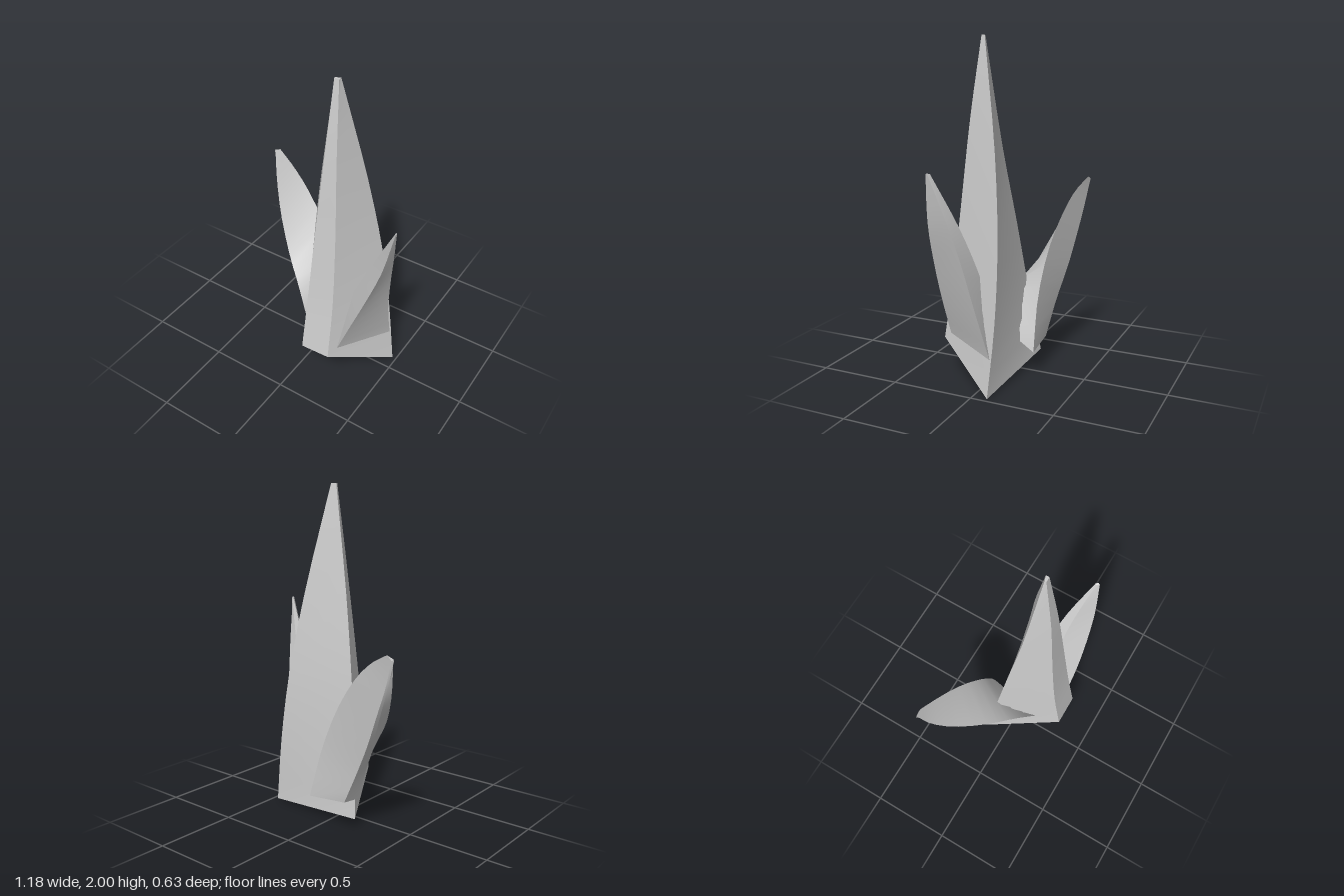
import * as THREE from 'three';

const material = new THREE.MeshStandardMaterial({ color: 0xcccccc });
const STEPS = 12;

// A tapering shard skinned between its four curved long edges.
// Each edge runs from base to tip; edges go counter-clockwise seen from the tip.
function shard(name, edges) {
  const rails = edges.map((points) =>
    new THREE.CatmullRomCurve3(points.map((p) => new THREE.Vector3(...p)), false, 'centripetal').getPoints(STEPS));
  const positions = [];
  const indices = [];
  const addVertex = (v) => positions.push(v.x, v.y, v.z) / 3 - 1;

  // four sides, each with its own vertices so the long edges stay sharp
  rails.forEach((a, i) => {
    const b = rails[(i + 1) % rails.length];
    const start = positions.length / 3;
    for (let k = 0; k <= STEPS; k++) {
      addVertex(a[k]);
      addVertex(b[k]);
    }
    for (let k = 0; k < STEPS; k++) {
      const n = start + 2 * k;
      indices.push(n, n + 1, n + 3, n, n + 3, n + 2);
    }
  });

  // base and tip caps
  const [b0, b1, b2, b3] = rails.map((r) => addVertex(r[0]));
  indices.push(b0, b2, b1, b0, b3, b2);
  const [t0, t1, t2, t3] = rails.map((r) => addVertex(r[STEPS]));
  indices.push(t0, t1, t2, t0, t2, t3);

  const geometry = new THREE.BufferGeometry();
  geometry.setAttribute('position', new THREE.Float32BufferAttribute(positions, 3));
  geometry.setIndex(indices);
  geometry.computeVertexNormals();
  const mesh = new THREE.Mesh(geometry, material);
  mesh.name = name;
  return mesh;
}

export function createModel() {
  const group = new THREE.Group();
  group.name = 'shardCluster';

  // tall central shard: narrow front, wide back
  group.add(shard('centralShard', [
    [[0.04, 0.21, 0.31], [0.05, 0.6, 0.25], [0.07, 1.05, 0.2], [0.1, 1.55, 0.15], [0.12, 2, 0.09]],
    [[0.23, 0.22, 0.31], [0.225, 0.6, 0.25], [0.207, 1.05, 0.2], [0.178, 1.55, 0.15], [0.15, 2, 0.09]],
    [[0.475, 0, -0.09], [0.415, 0.42, -0.11], [0.35, 0.85, -0.1], [0.265, 1.35, -0.045], [0.15, 2, 0.07]],
    [[-0.2, 0.06, -0.14], [-0.145, 0.48, -0.075], [-0.08, 0.9, -0.025], [0.003, 1.36, 0.03], [0.12, 2, 0.08]],
  ]));

  // shard leaning out to the back: wide face turned up toward the centre
  group.add(shard('leaningShard', [
    [[-0.03, 0.31, 0.16], [-0.15, 0.435, 0.07], [-0.29, 0.55, -0.035], [-0.45, 0.73, -0.17], [-0.545, 0.92, -0.265], [-0.585, 1.11, -0.315]],
    [[0.09, 0.155, -0.21], [0, 0.47, -0.2], [-0.13, 0.74, -0.215], [-0.29, 0.95, -0.25], [-0.42, 1.06, -0.28], [-0.545, 1.125, -0.315]],
    [[-0.16, 0.17, -0.19], [-0.27, 0.38, -0.215], [-0.37, 0.57, -0.25], [-0.46, 0.78, -0.28], [-0.53, 0.95, -0.3], [-0.575, 1.1, -0.318]],
    [[-0.2, 0.18, -0.11], [-0.285, 0.37, -0.155], [-0.375, 0.56, -0.205], [-0.46, 0.76, -0.255], [-0.535, 0.94, -0.29], [-0.59, 1.1, -0.315]],
  ]));

  // shard on the other side: wide face turned outward
  group.add(shard('sideShard', [
    [[0.26, 0.265, 0.25], [0.35, 0.5, 0.257], [0.445, 0.75, 0.252], [0.53, 1, 0.237], [0.585, 1.275, 0.21]],
    [[0.44, 0.22, -0.09], [0.46, 0.5, -0.01], [0.5, 0.8, 0.06], [0.54, 1.02, 0.12], [0.588, 1.28, 0.2]],
    [[0.17, 0.22, -0.02], [0.25, 0.46, 0], [0.34, 0.7, 0.03], [0.455, 0.98, 0.09], [0.58, 1.275, 0.185]],
    [[0.13, 0.24, 0.09], [0.21, 0.46, 0.1], [0.305, 0.69, 0.113], [0.43, 0.97, 0.14], [0.575, 1.27, 0.192]],
  ]));

  return group;
}
